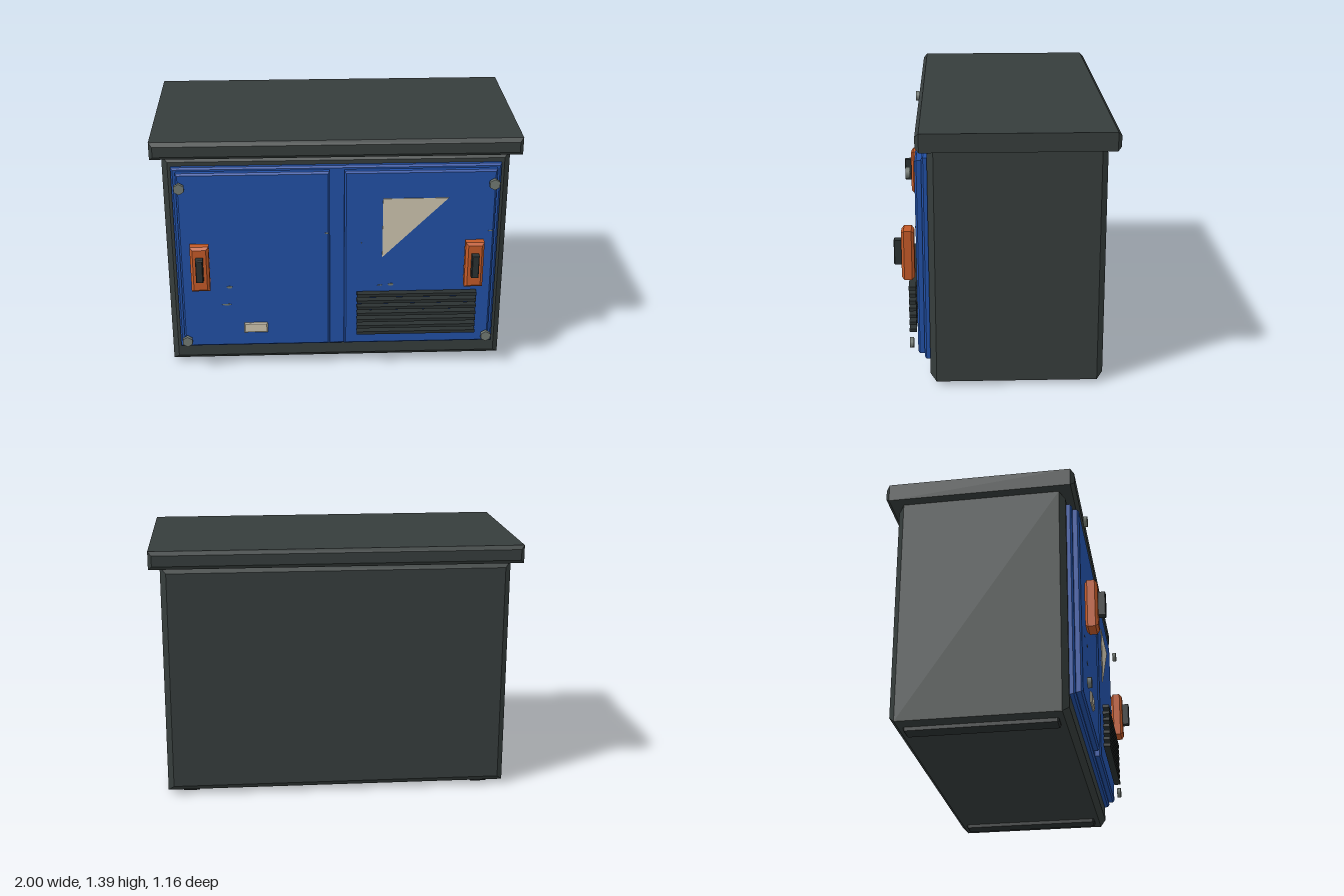
import * as THREE from 'three';

const mat = (name, color) => Object.assign(new THREE.MeshStandardMaterial({ color }), { name });

export function createModel() {
  const root = new THREE.Group();
  root.name = 'utilityCabinet';

  const casing = mat('charcoal casing', 0x363d3c);
  const blue = mat('blue paint', 0x2250a6);
  const orange = mat('orange handle', 0xc45a28);
  const dark = mat('dark trim', 0x2b3131);
  const cream = mat('cream plate', 0xcec6b0);
  const steel = mat('bare steel', 0x727a74);

  const add = (name, geometry, material, parent = root) => {
    const mesh = new THREE.Mesh(geometry, material);
    mesh.name = name;
    parent.add(mesh);
    return mesh;
  };

  // Box given by its limits; its front and back rims are chamfered by b
  const bevelBox = (name, material, [x0, x1], [y0, y1], [z0, z1], b, parent) => {
    const s = new THREE.Shape();
    s.moveTo(x0, y0).lineTo(x1, y0).lineTo(x1, y1).lineTo(x0, y1).closePath();
    const g = new THREE.ExtrudeGeometry(s, {
      depth: z1 - z0 - 2 * b, bevelEnabled: true, bevelSegments: 1,
      bevelSize: b, bevelThickness: b, bevelOffset: -b,
    });
    g.translate(0, 0, z0 + b);
    return add(name, g, material, parent);
  };

  // Casing, roof and front frame
  bevelBox('casing', casing, [-0.943, 0.943], [0.02, 1.295], [-0.52, 0.395], 0.032);
  bevelBox('roof', casing, [-1, 1], [1.295, 1.393], [-0.577, 0.452], 0.02);
  bevelBox('doorFrame', blue, [-0.893, 0.893], [0.13, 1.24], [0.36, 0.425], 0.01);

  // Mirrored doors, handles, feet and bolts
  for (const side of [-1, 1]) {
    const span = (a, b) => (side > 0 ? [a, b] : [-b, -a]);
    bevelBox('door', blue, span(0.04, 0.867), [0.15, 1.22], [0.41, 0.46], 0.01);
    bevelBox('foot', dark, span(0.77, 0.86), [0, 0.025], [-0.463, 0.337], 0.008);

    const handle = new THREE.Group();
    handle.name = 'handle';
    root.add(handle);
    bevelBox('handlePlate', orange, span(0.703, 0.805), [0.545, 0.817], [0.472, 0.54], 0.014, handle);
    bevelBox('handleGrip', dark, span(0.734, 0.774), [0.623, 0.758], [0.53, 0.58], 0.004, handle);

    for (const y of [0.205, 1.15]) {
      const bolt = add('hingeBolt', new THREE.CylinderGeometry(0.031, 0.031, 0.022, 6), steel);
      bolt.rotation.x = Math.PI / 2;
      bolt.position.set(side * 0.847, y, 0.493);
    }
  }

  // Ventilation slats
  for (let i = 0; i < 7; i++) {
    const slat = add('ventSlat', new THREE.BoxGeometry(0.67, 0.018, 0.038), dark);
    slat.position.set(0.445, 0.244 + i * 0.0402, 0.488);
  }

  // Triangular panel and small label plate
  const tri = new THREE.Shape();
  tri.moveTo(0.25, 1.06).lineTo(0.25, 0.705).lineTo(0.607, 1.06).closePath();
  const panel = add('trianglePanel', new THREE.ExtrudeGeometry(tri, { depth: 0.004, bevelEnabled: false }), cream);
  panel.position.z = 0.46;
  bevelBox('labelPlate', cream, [-0.525, -0.393], [0.24, 0.302], [0.455, 0.472], 0.006);

  // Paint chips: x, y, width, height
  const chips = [
    [-0.6, 0.53, 0.034, 0.016], [-0.62, 0.42, 0.055, 0.01], [0.3, 0.53, 0.034, 0.016],
    [0.285, 0.423, 0.075, 0.012], [0.255, 0.47, 0.02, 0.008], [-0.057, 0.857, 0.026, 0.008],
    [0.845, 0.857, 0.026, 0.008], [0.135, 0.793, 0.008, 0.005], [-0.72, 0.53, 0.03, 0.006],
    [0.24, 0.527, 0.03, 0.006],
  ];
  for (const [x, y, w, h] of chips) {
    const s = new THREE.Shape();
    s.moveTo(x - w / 2, y - h * 0.2).lineTo(x + w * 0.2, y - h / 2).lineTo(x + w / 2, y + h * 0.1)
      .lineTo(x + w * 0.3, y + h / 2).lineTo(x - w * 0.35, y + h * 0.4).closePath();
    add('paintChip', new THREE.ExtrudeGeometry(s, { depth: 0.002, bevelEnabled: false }), steel).position.z = 0.46;
  }

  return root;
}
